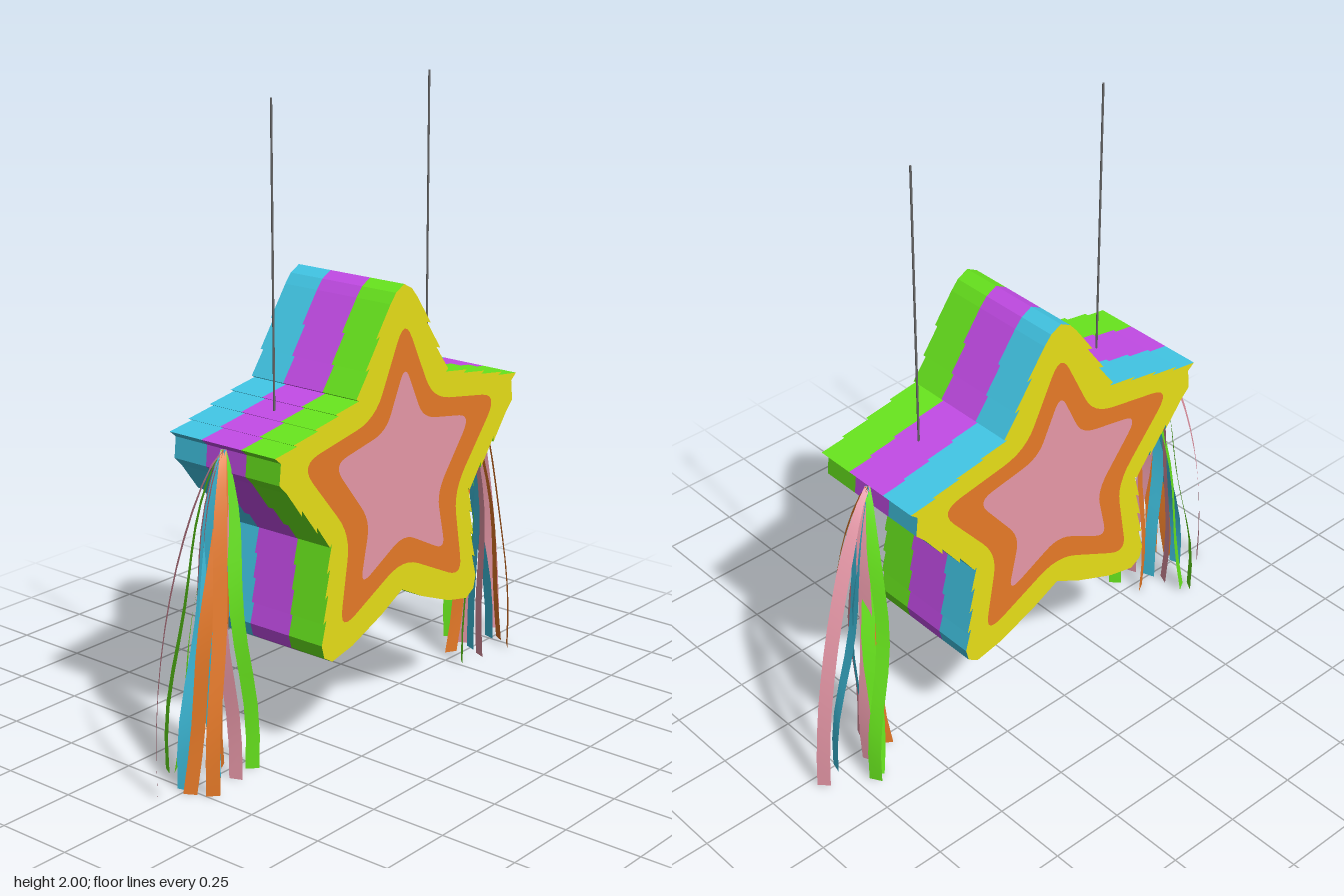
import * as THREE from 'three';

const mat = (name, color, side = THREE.FrontSide) => {
  const m = new THREE.MeshStandardMaterial({ color, side });
  m.name = name;
  return m;
};
const V = (x, y) => new THREE.Vector2(x, y);

// Closes a half outline (x >= 0, top to bottom) with its mirror image.
const mirrored = (half) => [...half, ...half.slice(1, -1).reverse().map((p) => V(-p.x, p.y))];

// Overlapping paper layers: each one flares outward and hangs over the next.
function shingles(a, b, count, flare) {
  const step = b.clone().sub(a).divideScalar(count);
  const out = V(-step.y, step.x).setLength(flare);
  const pts = [];
  for (let i = 0; i < count; i++) {
    const overhang = i < count - 1 ? 0.14 : 0;
    pts.push(a.clone().addScaledVector(step, i));
    pts.push(a.clone().addScaledVector(step, i + 1 + overhang).add(out));
  }
  return pts;
}

function bodyShape() {
  const inner = V(0.21, 1.11), armpit = V(0.335, 0.7);
  return new THREE.Shape(mirrored([
    V(0, 1.425), V(0.038, 1.405),
    ...shingles(V(0.064, 1.375), inner, 3, 0.014),
    ...shingles(inner, V(0.58, 1.015), 4, 0.011),
    V(0.558, 1.005), V(0.565, 0.94),
    ...shingles(V(0.535, 0.91), armpit, 3, 0.012),
    ...shingles(armpit, V(0.37, 0.39), 4, 0.013),
    V(0.372, 0.35), V(0.335, 0.327), V(0.24, 0.348), V(0.1, 0.405), V(0, 0.457),
  ]));
}

// Star with every corner rounded off by a quarter of its edges.
function roundedStar(half) {
  const pts = mirrored(half), n = pts.length;
  const shape = new THREE.Shape();
  pts.forEach((p, i) => {
    const from = p.clone().lerp(pts[(i + n - 1) % n], 0.25);
    const to = p.clone().lerp(pts[(i + 1) % n], 0.25);
    if (i === 0) shape.moveTo(from.x, from.y);
    else shape.lineTo(from.x, from.y);
    shape.quadraticCurveTo(p.x, p.y, to.x, to.y);
  });
  return new THREE.ShapeGeometry(shape, 6);
}

// Flat strip arching out of the arm tip and falling to the floor at (endX, endZ).
function ribbonGeometry(endX, endZ, bulgeX, bulgeZ, sway, angle) {
  const steps = 12, pos = [], idx = [];
  for (let i = 0; i <= steps; i++) {
    const s = (i / steps) ** 1.3;
    const out = Math.sin(s * Math.PI / 2) ** 0.7, arch = Math.sin(Math.PI * s ** 0.7);
    const x = 0.575 + (endX - 0.575) * out + bulgeX * arch + sway * Math.sin(s * Math.PI * 3);
    const z = endZ * out + bulgeZ * arch;
    const y = 1.01 * (1 - s);
    const half = 0.021 * Math.min(1, 0.4 + s * 3), turn = angle + sway * 20 * s;
    const dx = Math.cos(turn) * half, dz = Math.sin(turn) * half;
    pos.push(x - dx, y, z - dz, x + dx, y, z + dz);
    if (i < steps) {
      const k = i * 2;
      idx.push(k, k + 1, k + 2, k + 1, k + 3, k + 2);
    }
  }
  const g = new THREE.BufferGeometry();
  g.setAttribute('position', new THREE.Float32BufferAttribute(pos, 3));
  g.setIndex(idx);
  g.computeVertexNormals();
  return g;
}

export function createModel() {
  const root = new THREE.Group();
  root.name = 'hangingStar';
  const D = THREE.DoubleSide;
  const yellow = mat('yellow paper', 0xe8e018);
  const orange = mat('orange paper', 0xe87b28, D);
  const pink = mat('pink paper', 0xea9aaa, D);
  const green = mat('green paper', 0x69e81e, D);
  const purple = mat('purple paper', 0xc44ce8);
  const blue = mat('blue paper', 0x43caea, D);
  const grey = mat('string grey', 0x6a6a6a);
  const add = (parent, name, geometry, material) => {
    const mesh = new THREE.Mesh(geometry, material);
    mesh.name = name;
    parent.add(mesh);
    return mesh;
  };

  // Star body: three coloured bands with yellow faces
  const outline = bodyShape();
  const bands = [['backBand', -0.207, -0.08, blue], ['middleBand', -0.08, 0.075, purple], ['frontBand', 0.075, 0.205, green]];
  for (const [name, z0, z1, m] of bands) {
    const g = new THREE.ExtrudeGeometry(outline, { depth: z1 - z0, bevelEnabled: false });
    add(root, name, g, [yellow, m]).position.z = z0;
  }

  // Nested stars on both faces
  const middle = roundedStar([V(0, 1.325), V(0.14, 1.04), V(0.48, 0.98), V(0.255, 0.71), V(0.305, 0.41), V(0, 0.56)]);
  const centre = roundedStar([V(0, 1.18), V(0.09, 0.99), V(0.335, 0.945), V(0.165, 0.73), V(0.21, 0.53), V(0, 0.64)]);
  for (const side of ['front', 'back']) {
    const face = new THREE.Group();
    face.name = side + 'Face';
    add(face, 'middleStar', middle, orange).position.z = 0.209;
    add(face, 'centreStar', centre, pink).position.z = 0.211;
    if (side === 'back') face.rotation.y = Math.PI;
    root.add(face);
  }

  // Hanging strings
  for (const x of [-0.358, 0.373]) {
    add(root, 'string', new THREE.CylinderGeometry(0.0035, 0.0035, 0.93, 6), grey).position.set(x, 1.535, 0.004);
  }

  // Tassel ribbons: material, end x, end z, bulge x, bulge z, sway, width direction
  const ribbons = [
    [pink, 0.835, -0.045, 0.005, -0.015, 0, 0.8],
    [orange, 0.735, 0.085, -0.01, 0.01, 0.006, 2.3],
    [orange, 0.77, 0.025, -0.04, 0.015, -0.01, 2.3],
    [blue, 0.64, 0, 0.03, 0, -0.008, 2.1],
    [blue, 0.76, -0.01, -0.04, -0.005, 0.012, 1.6],
    [green, 0.7, -0.135, -0.03, -0.01, 0.012, 0.8],
    [green, 0.68, -0.12, -0.02, 0.03, -0.012, 0.8],
    [green, 0.525, 0.05, 0.035, 0.01, -0.012, 2.6],
    [pink, 0.61, 0.06, 0.03, -0.01, -0.012, 2.2],
    [pink, 0.66, -0.05, 0.01, -0.01, 0.008, 1],
    [orange, 0.57, -0.03, 0.02, 0.03, 0.012, 0.3],
  ];
  for (const side of [1, -1]) {
    const tassel = new THREE.Group();
    tassel.name = side > 0 ? 'leftTassel' : 'rightTassel';
    for (const [m, ...form] of ribbons) add(tassel, 'ribbon', ribbonGeometry(...form), m);
    tassel.scale.x = side;
    root.add(tassel);
  }
  return root;
}
